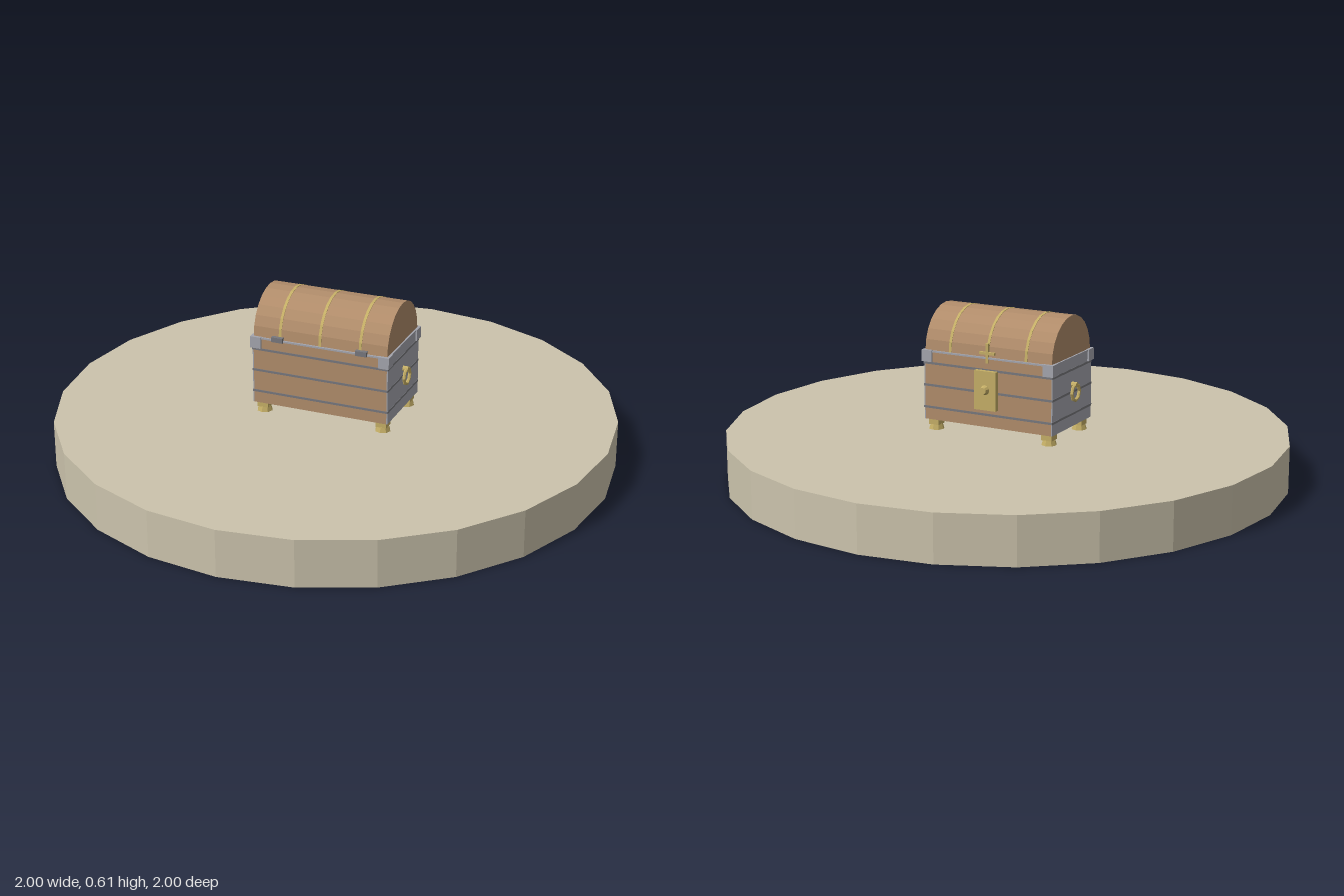
import * as THREE from 'three';

const mat = (name, color) => {
  const m = new THREE.MeshStandardMaterial({ color });
  m.name = name;
  m.flatShading = true;
  return m;
};

export function createModel() {
  const model = new THREE.Group();
  model.name = 'chestOnPlinth';
  const stone = mat('sandstone', 0xcbc3ac);
  const wood = mat('wood', 0xb08c6a);
  const iron = mat('iron', 0xa4a5ad);
  const darkIron = mat('darkIron', 0x77777c);
  const brass = mat('brass', 0xc4ae66);

  const add = (name, geo, material, x = 0, y = 0, z = 0) => {
    const mesh = new THREE.Mesh(geo, material);
    mesh.name = name;
    mesh.position.set(x, y, z);
    model.add(mesh);
    return mesh;
  };
  const box = (name, material, w, h, d, x, y, z) =>
    add(name, new THREE.BoxGeometry(w, h, d), material, x, y, z);

  // Half cylinder lying along x, arched upward
  const arch = (r, length) =>
    new THREE.CylinderGeometry(r, r, length, 12, 1, false, 0, Math.PI).rotateZ(Math.PI / 2);

  // Round plinth
  add('plinth', new THREE.CylinderGeometry(1, 1, 0.17, 24), stone, 0, 0.085, 0);

  // Body and arched lid
  box('body', wood, 0.5, 0.25, 0.3, 0, 0.335, 0);
  add('lid', arch(0.147, 0.5), wood, 0, 0.46, 0);
  for (const x of [-0.15, 0, 0.15]) add('lidBand', arch(0.1485, 0.01), brass, x, 0.46, 0);

  // Iron straps around the body and the rim under the lid
  for (const y of [0.255, 0.335, 0.415]) box('bodyStrap', darkIron, 0.51, 0.008, 0.304, 0, y, 0);
  box('rim', iron, 0.512, 0.006, 0.308, 0, 0.458, 0);

  for (const sx of [-1, 1]) {
    // End plate with ring handle
    box('endPlate', iron, 0.004, 0.25, 0.3, sx * 0.252, 0.335, 0);
    const ring = add('ringHandle', new THREE.TorusGeometry(0.029, 0.006, 6, 8), brass, sx * 0.268, 0.335, 0);
    ring.rotation.y = Math.PI / 2;
    const pin = add('handlePin', new THREE.CylinderGeometry(0.01, 0.01, 0.022, 8), brass, sx * 0.263, 0.362, 0);
    pin.rotation.z = Math.PI / 2;

    // Hinge on the front edge of the lid
    box('hinge', darkIron, 0.042, 0.018, 0.02, sx * 0.157, 0.463, 0.15);

    for (const sz of [-1, 1]) {
      // Corner brackets and stepped feet
      box('cornerBracket', iron, 0.04, 0.042, 0.04, sx * 0.24, 0.441, sz * 0.138);
      box('footBlock', brass, 0.04, 0.025, 0.04, sx * 0.225, 0.2, sz * 0.117);
      add('footPad', new THREE.CylinderGeometry(0.022, 0.028, 0.018, 8), brass, sx * 0.225, 0.179, sz * 0.117);
    }
  }

  // Lock plate, knob and hasp on the rear side
  box('lockPlate', brass, 0.085, 0.14, 0.018, 0, 0.345, -0.159);
  const knob = add('lockKnob', new THREE.CylinderGeometry(0.012, 0.018, 0.018, 10), brass, 0, 0.348, -0.176);
  knob.rotation.x = -Math.PI / 2;
  box('haspBar', brass, 0.06, 0.009, 0.012, 0, 0.475, -0.149);
  box('haspStrap', brass, 0.01, 0.07, 0.012, 0, 0.475, -0.149);

  return model;
}
